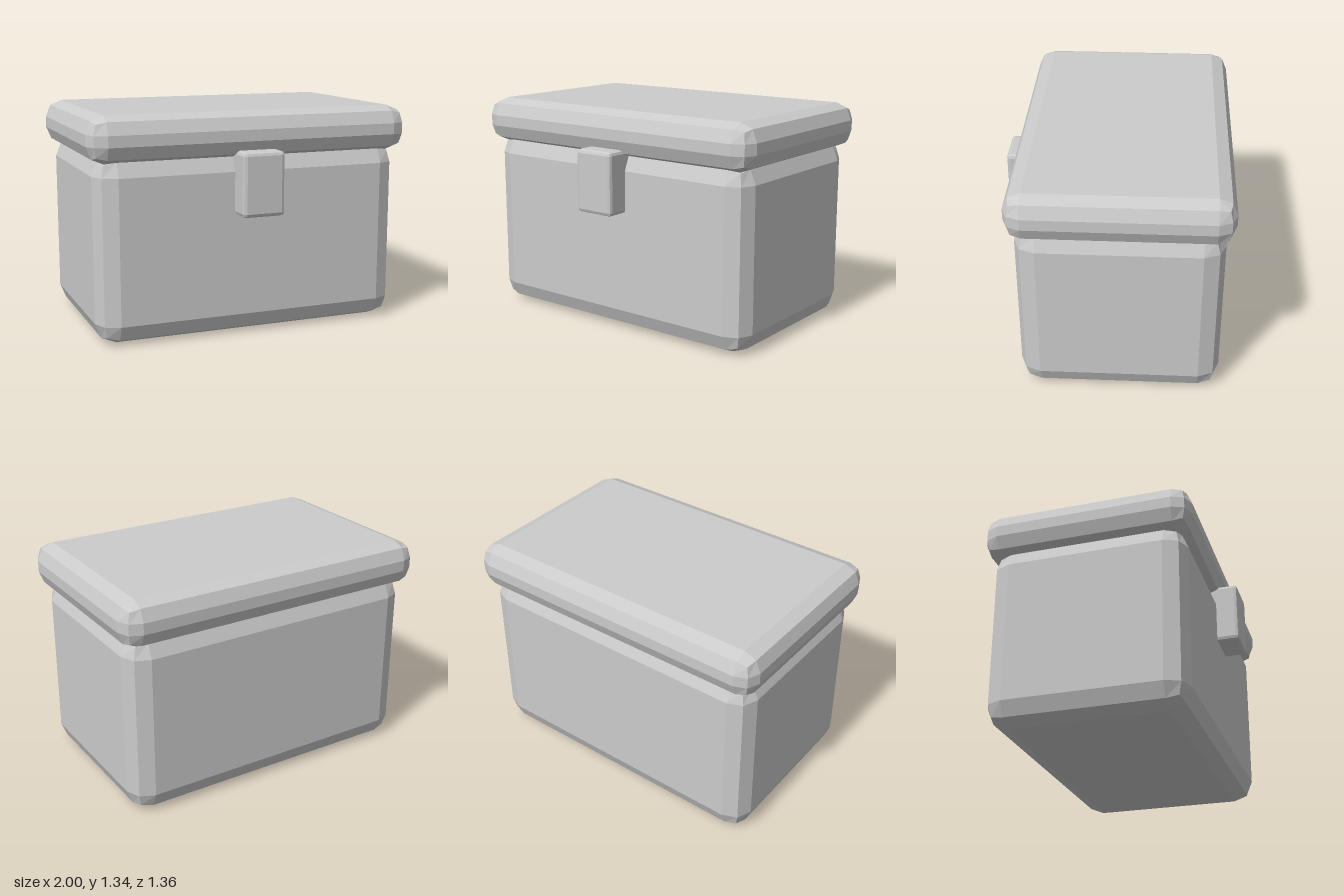
import * as THREE from 'three';
import { RoundedBoxGeometry } from 'three/addons/geometries/RoundedBoxGeometry.js';

const material = new THREE.MeshStandardMaterial({ color: 0xcccccc, flatShading: true });

// Box with two-step bevelled edges, given by its extents on each axis
function bevelBox(name, [x0, x1], [y0, y1], [z0, z1], radius) {
  const geometry = new RoundedBoxGeometry(x1 - x0, y1 - y0, z1 - z0, 1, radius);
  const mesh = new THREE.Mesh(geometry, material);
  mesh.name = name;
  mesh.position.set((x0 + x1) / 2, (y0 + y1) / 2, (z0 + z1) / 2);
  return mesh;
}

export function createModel() {
  const chest = new THREE.Group();
  chest.name = 'chest';
  chest.add(
    // main container
    bevelBox('body', [-0.955, 0.955], [0, 1.114], [-0.636, 0.546], 0.125),
    // overhanging lid
    bevelBox('lid', [-1, 1], [1.065, 1.34], [-0.682, 0.59], 0.104),
    // front clasp, sunk into the body and lid
    bevelBox('latch', [-0.13, 0.13], [0.735, 1.115], [0.48, 0.682], 0.022),
  );
  return chest;
}
